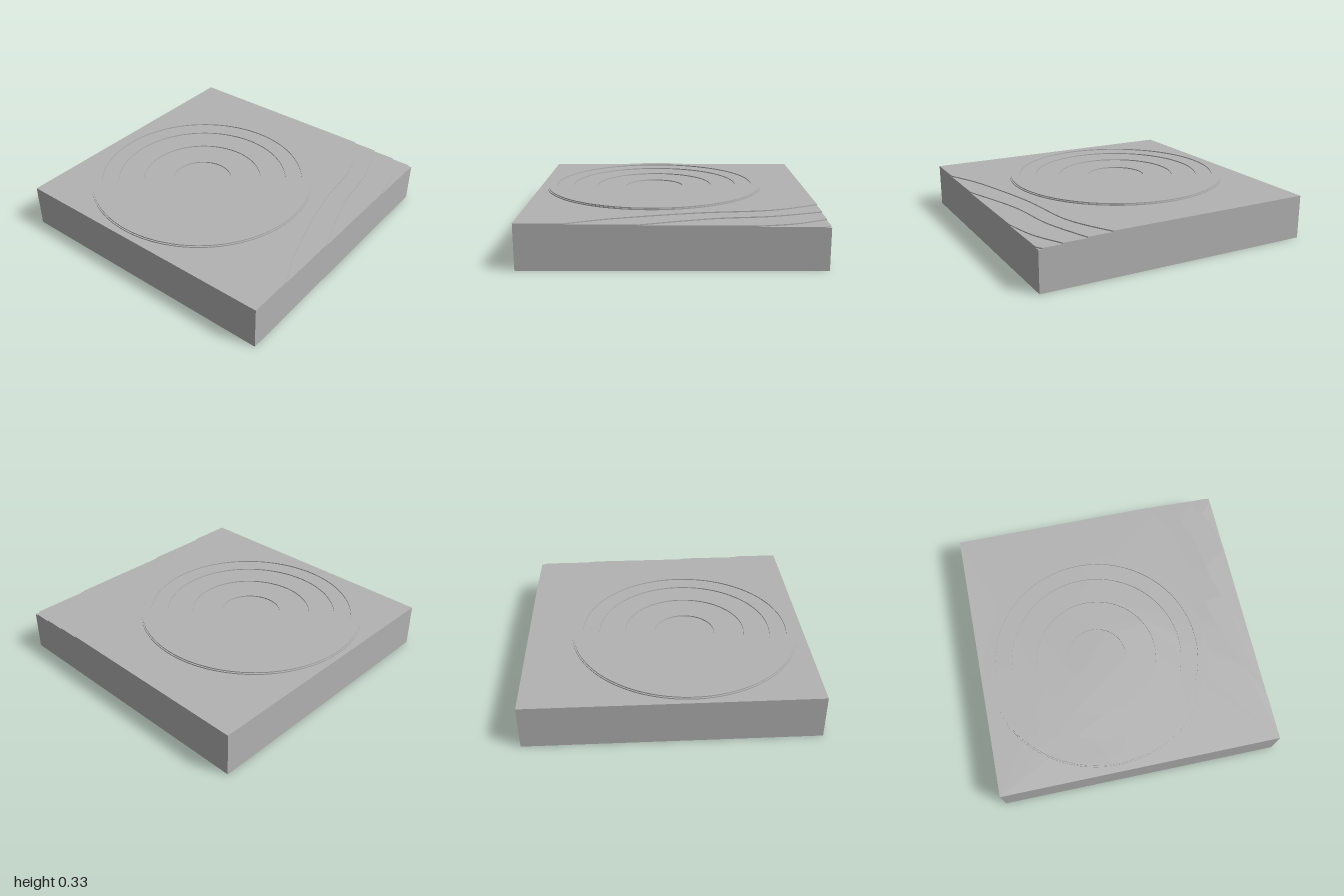
import * as THREE from 'three';

const STEP = 1 / 128;           // height of one terrace
const GROUND = 40 * STEP;       // level of the plain
const CX = -0.135, CZ = -0.145; // crater centre

// Flat shape (x, -z) extruded upwards from y.
function slab(name, shape, y, height, material) {
  const geometry = new THREE.ExtrudeGeometry(shape, {
    depth: height, bevelEnabled: false, curveSegments: 64,
  });
  geometry.rotateX(-Math.PI / 2);
  const mesh = new THREE.Mesh(geometry, material);
  mesh.name = name;
  mesh.position.y = y;
  return mesh;
}

// Circle around the crater centre, as outline or hole.
function circle(r, PathType) {
  const path = new PathType();
  path.absarc(CX, -CZ, r, 0, Math.PI * 2, false);
  return path;
}

// Square whose front corner is cut off along a wavy contour of [x, z] points.
function terrain(contour) {
  const shape = new THREE.Shape();
  const [first, ...rest] = contour.map(([x, z]) => new THREE.Vector2(x, -z));
  shape.moveTo(-1, 1);
  shape.lineTo(-1, -1);
  shape.lineTo(first.x, first.y);
  shape.splineThru(rest);
  shape.lineTo(1, 1);
  shape.closePath();
  return shape;
}

export function createModel() {
  const group = new THREE.Group();
  group.name = 'terracedRelief';
  const stone = new THREE.MeshStandardMaterial({ color: 0xb2b2b2 });
  stone.name = 'grey stone';

  // Solid base below all terraces
  const baseHeight = GROUND - 4 * STEP;
  const base = new THREE.Mesh(new THREE.BoxGeometry(2, baseHeight, 2), stone);
  base.name = 'base';
  base.position.y = baseHeight / 2;
  group.add(base);

  // Terraces falling towards the front corner, the upper two pierced by the bowl
  const terraces = [
    { contour: [[0.96, 1], [0.985, 0.985], [1, 0.97]] },
    { contour: [[0.54, 1], [0.78, 0.945], [1, 0.84]] },
    { contour: [[-0.22, 1], [0.25, 0.85], [0.65, 0.79], [1, 0.675]], hole: 0.216 },
    { contour: [[-0.68, 1], [-0.37, 0.87], [0.17, 0.73], [0.66, 0.66], [1, 0.5]], hole: 0.435 },
  ];
  terraces.forEach(({ contour, hole }, i) => {
    const shape = terrain(contour);
    if (hole) shape.holes.push(circle(hole, THREE.Path));
    group.add(slab(`terrace${i + 1}`, shape, baseHeight + i * STEP, STEP, stone));
  });

  // Raised crater rim, stepping down into the bowl
  [[0.817, 0.62], [0.808, 0.742]].forEach(([outer, inner], i) => {
    const shape = circle(outer, THREE.Shape);
    shape.holes.push(circle(inner, THREE.Path));
    group.add(slab(`craterRim${i + 1}`, shape, GROUND + i * STEP, STEP, stone));
  });

  return group;
}
